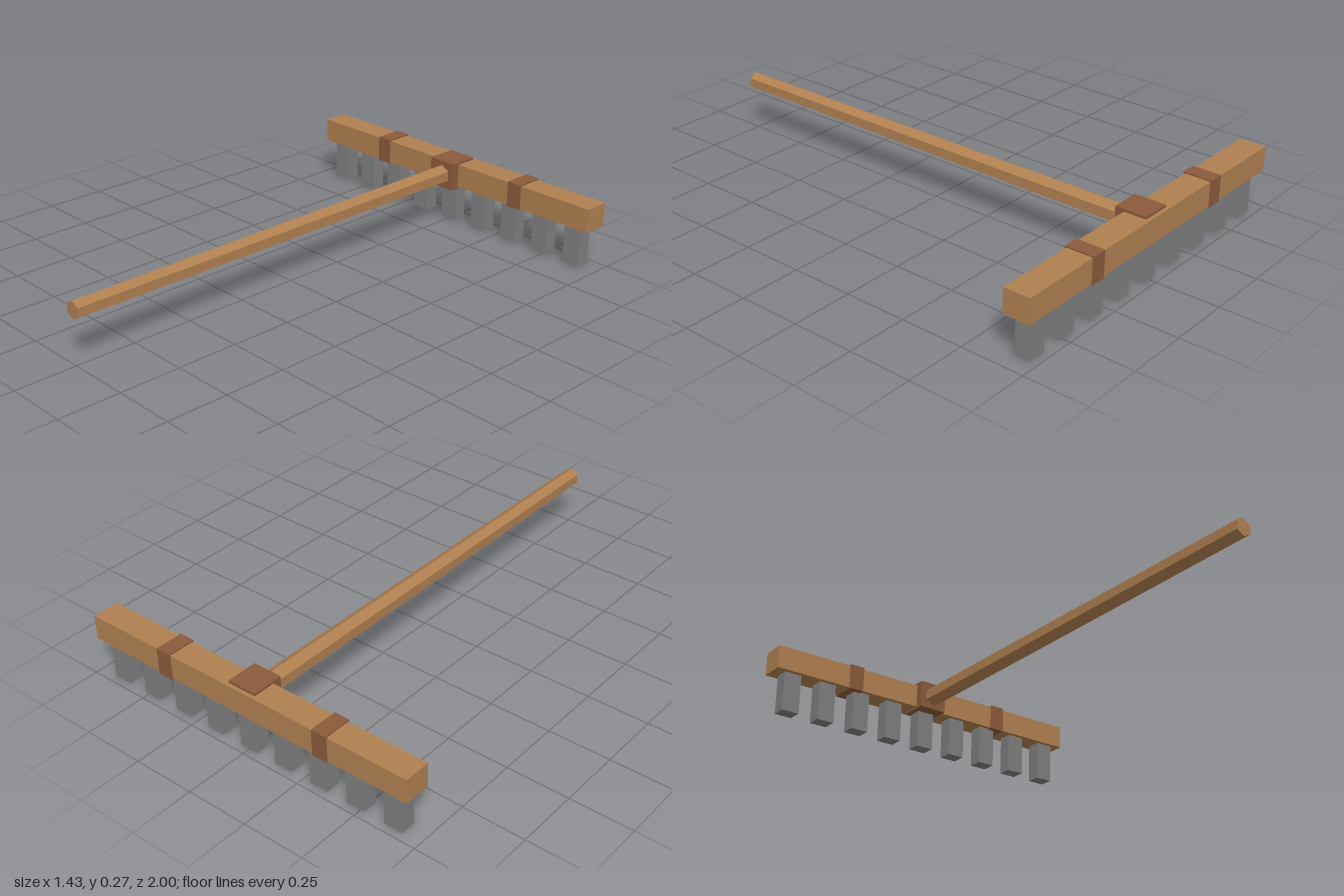
import * as THREE from 'three';

export function createModel() {
  const model = new THREE.Group();
  model.name = 'rake';

  const mat = (name, color) => {
    const m = new THREE.MeshStandardMaterial({ color });
    m.name = name;
    return m;
  };
  const wood = mat('wood', 0xb08050);
  const darkWood = mat('dark wood', 0x8b5a3c);
  const metal = mat('grey metal', 0x7f7f7f);
  wood.flatShading = true;

  const add = (name, geometry, material, x, y, z) => {
    const mesh = new THREE.Mesh(geometry, material);
    mesh.name = name;
    mesh.position.set(x, y, z);
    model.add(mesh);
    return mesh;
  };

  // Head beam across the back
  add('headBeam', new THREE.BoxGeometry(1.435, 0.097, 0.105), wood, 0, 0.2135, -0.9425);

  // Two binding bands around the beam
  for (const side of [-1, 1]) {
    add('band', new THREE.BoxGeometry(0.062, 0.106, 0.116), darkWood, side * 0.358, 0.2145, -0.942);
  }

  // Socket joining the handle to the head
  add('socket', new THREE.BoxGeometry(0.12, 0.115, 0.125), darkWood, 0, 0.2145, -0.9175);

  // Hexagonal handle, slightly thinner at the grip end
  const handle = new THREE.CylinderGeometry(0.036, 0.041, 1.9, 6);
  handle.rotateX(Math.PI / 2);
  add('handle', handle, wood, 0, 0.2135, 0.05);

  // Nine tines, set a little way into the beam
  const tine = new THREE.BoxGeometry(0.074, 0.18, 0.06);
  for (let i = -4; i <= 4; i++) {
    add('tine', tine, metal, i * 0.1595, 0.09, -0.939);
  }

  return model;
}
